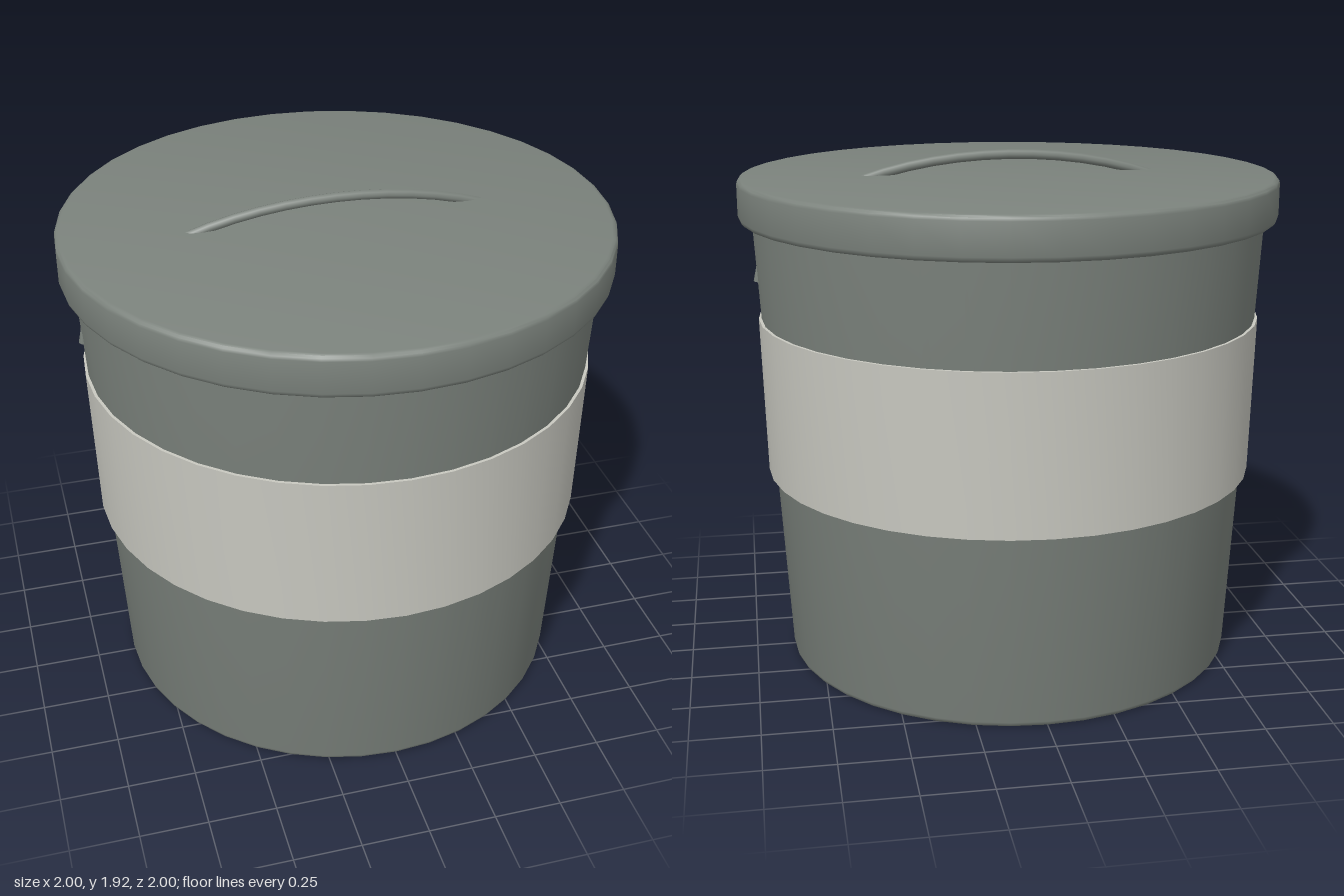
import * as THREE from 'three';
import { toCreasedNormals } from 'three/addons/utils/BufferGeometryUtils.js';

const SIDES = 40;

// Revolve a profile, listed from the bottom up, keeping sharp edges crisp
function turned(name, profile, material) {
  const points = profile.map(([r, y]) => new THREE.Vector2(r, y));
  const geometry = toCreasedNormals(new THREE.LatheGeometry(points, SIDES), 0.7);
  const mesh = new THREE.Mesh(geometry, material);
  mesh.name = name;
  return mesh;
}

// Quarter-round corner points, angles in degrees
function corner(cx, cy, r, from, to, steps = 3) {
  return Array.from({ length: steps + 1 }, (_, i) => {
    const a = THREE.MathUtils.degToRad(from + ((to - from) * i) / steps);
    return [cx + r * Math.cos(a), cy + r * Math.sin(a)];
  });
}

export function createModel() {
  const grey = new THREE.MeshStandardMaterial({ color: 0x7b827c });
  grey.name = 'bin grey';
  const pale = new THREE.MeshStandardMaterial({ color: 0xc8c8c0 });
  pale.name = 'label pale grey';

  const group = new THREE.Group();
  group.name = 'lidded bucket';

  // Tapered body with a softened bottom edge
  group.add(turned('body', [
    [0, 0], ...corner(0.835, 0.02, 0.02, -90, 0), [0.951, 1.7], [0, 1.7],
  ], grey));

  // Wide label band around the middle
  group.add(turned('labelBand', [
    [0.88, 0.73], [0.924, 0.73], [0.94, 1.317], [0.915, 1.317],
  ], pale));

  // Overhanging lid with rounded rim
  group.add(turned('lid', [
    [0, 1.685],
    ...corner(0.98, 1.705, 0.02, -90, 0),
    ...corner(0.98, 1.82, 0.02, 0, 90),
    [0, 1.84],
  ], grey));

  // Bail handle: half ellipse passing through the lid, ends at the body sides
  const bail = new THREE.CatmullRomCurve3(
    Array.from({ length: 25 }, (_, i) => {
      const a = (Math.PI * i) / 24;
      return new THREE.Vector3(0.935 * Math.cos(a), 1.457 + 0.45 * Math.sin(a), 0);
    })
  );
  const handle = new THREE.Mesh(new THREE.TubeGeometry(bail, 24, 0.018, 8), grey);
  handle.name = 'handle';
  group.add(handle);

  // Caps closing the handle ends
  for (const side of [-1, 1]) {
    const cap = new THREE.Mesh(new THREE.CircleGeometry(0.018, 8), grey);
    cap.name = side > 0 ? 'leftHandleEnd' : 'rightHandleEnd';
    cap.rotation.x = Math.PI / 2;
    cap.position.set(0.935 * side, 1.457, 0);
    group.add(cap);
  }

  return group;
}
